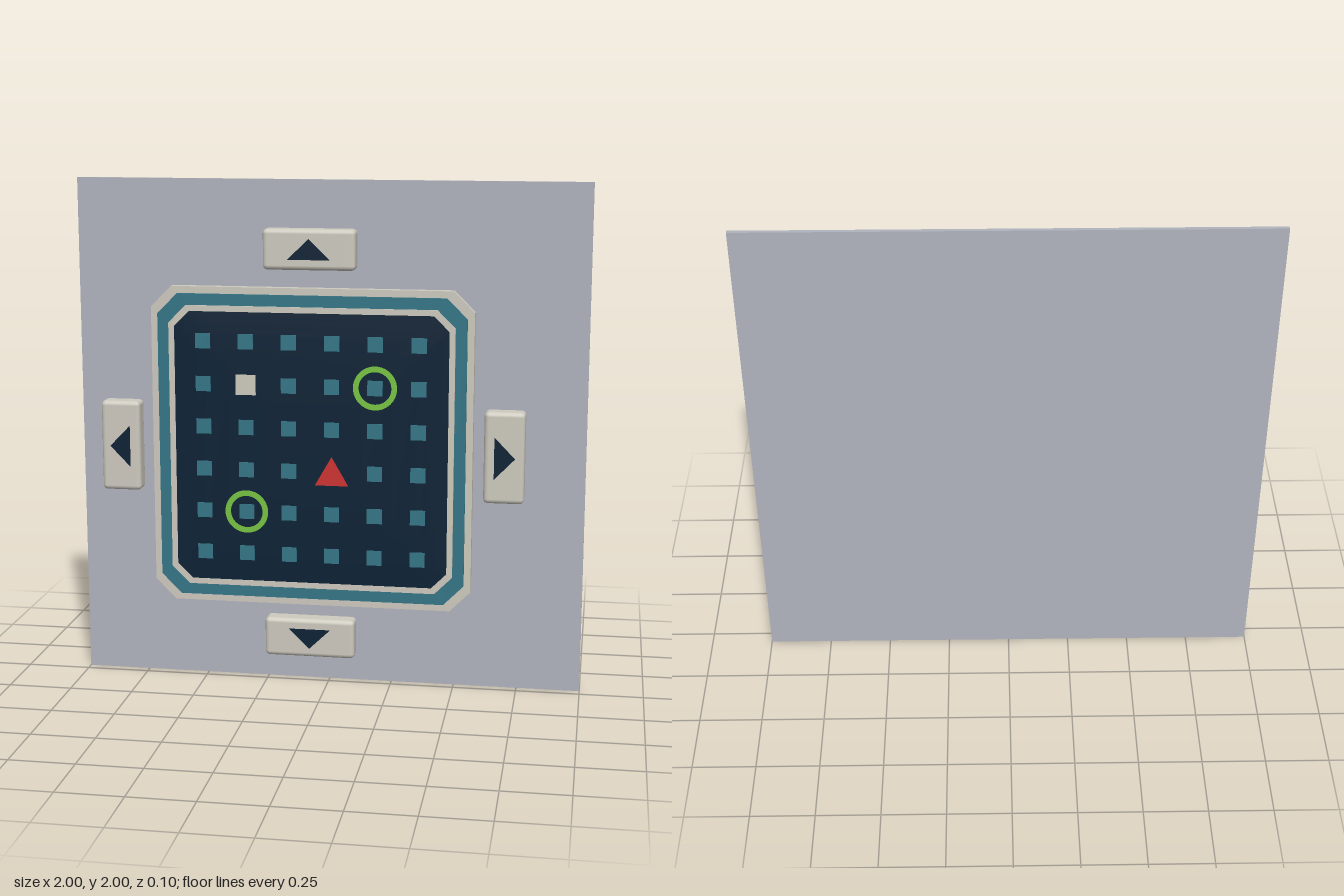
import * as THREE from 'three';
import { RoundedBoxGeometry } from 'three/addons/geometries/RoundedBoxGeometry.js';

const mat = (name, color) => new THREE.MeshStandardMaterial({ name, color });
const CX = -0.07, CY = 0.95; // centre of the console panel
const HALF = 0.54, Z0 = 0.013, DOME = 0.007; // screen size and bulge

// Corner points of a square with cut corners
const octagon = (h, c) => [[h, h - c], [h - c, h], [c - h, h], [-h, h - c],
  [-h, c - h], [c - h, -h], [h - c, -h], [h, c - h]].map(([x, y]) => new THREE.Vector2(x, y));

const triangle = (halfWidth, height) => new THREE.Shape([
  new THREE.Vector2(-halfWidth, -height / 2),
  new THREE.Vector2(halfWidth, -height / 2),
  new THREE.Vector2(0, height / 2)]);

const extrude = (shape, depth) =>
  new THREE.ExtrudeGeometry(shape, { depth, bevelEnabled: false, curveSegments: 32 });

// Height of the bulged screen at a point relative to its centre
const screenZ = (x, y) => Z0 + DOME * (1 - Math.pow(Math.max(Math.abs(x), Math.abs(y)) / HALF, 4));

// Gently domed screen lofted from shrinking octagons
function domeGeometry() {
  const outline = octagon(HALF, 0.06), n = outline.length;
  const scales = [1, 0.95, 0.88, 0.78, 0.6, 0.35, 0];
  const pos = [], index = [];
  for (const s of scales)
    for (const p of outline) pos.push(p.x * s, p.y * s, Z0 + DOME * (1 - s ** 4));
  for (let r = 0; r < scales.length - 1; r++) {
    for (let i = 0; i < n; i++) {
      const j = (i + 1) % n, a = r * n + i, b = r * n + j;
      index.push(a, b, a + n);
      if (r < scales.length - 2) index.push(b, b + n, a + n);
    }
  }
  const g = new THREE.BufferGeometry();
  g.setAttribute('position', new THREE.Float32BufferAttribute(pos, 3));
  g.setIndex(index);
  g.computeVertexNormals();
  return g;
}

export function createModel() {
  const wall = mat('wallGrey', 0xb0b4be);
  const ivory = mat('ivory', 0xcecabf);
  const teal = mat('teal', 0x357687);
  const navy = mat('navy', 0x0c2236);
  const green = mat('green', 0x78c442);
  const red = mat('red', 0xce3434);

  const model = new THREE.Group();
  model.name = 'wallConsole';
  const add = (parent, name, geometry, material, x = 0, y = 0, z = 0) => {
    const m = new THREE.Mesh(geometry, material);
    m.name = name;
    m.position.set(x, y, z);
    parent.add(m);
    return m;
  };

  // Backing wall
  add(model, 'backPlate', new THREE.BoxGeometry(2, 2, 0.015), wall, 0, 1, -0.0425);

  // Stepped frame around the screen
  const panel = new THREE.Group();
  panel.name = 'panel';
  panel.position.set(CX, CY, 0);
  model.add(panel);
  add(panel, 'outerFrame', extrude(new THREE.Shape(octagon(0.635, 0.082)), 0.035), ivory, 0, 0, -0.035);
  add(panel, 'tealBand', extrude(new THREE.Shape(octagon(0.608, 0.08)), 0.008), teal);
  const trim = new THREE.Shape(octagon(0.563, 0.07));
  trim.holes.push(new THREE.Path(octagon(HALF, 0.06)));
  add(panel, 'innerTrim', extrude(trim, 0.006), ivory, 0, 0, 0.008);
  add(panel, 'screen', domeGeometry(), navy);

  // Grid of dots on the screen
  const pitch = 0.17;
  const cell = (col, row) => [(col - 2.5) * pitch, (row - 2.5) * pitch];
  const dot = new THREE.BoxGeometry(0.06, 0.06, 0.004);
  for (let row = 0; row < 6; row++) {
    for (let col = 0; col < 6; col++) {
      if ((col === 1 && row === 4) || (col === 3 && row === 2)) continue;
      const [x, y] = cell(col, row);
      add(panel, 'gridDot', dot, teal, x, y, screenZ(x, y) + 0.001);
    }
  }

  // Markers on the grid: square, rings and triangle
  const [sx, sy] = cell(1, 4);
  add(panel, 'squareMarker', new THREE.BoxGeometry(0.08, 0.08, 0.004), ivory, sx, sy, screenZ(sx, sy) + 0.002);
  const ring = new THREE.Shape().absarc(0, 0, 0.086, 0, Math.PI * 2, false);
  ring.holes.push(new THREE.Path().absarc(0, 0, 0.064, 0, Math.PI * 2, true));
  const ringGeometry = extrude(ring, 0.004);
  for (const [col, row] of [[4, 4], [1, 1]]) {
    const [x, y] = cell(col, row);
    add(panel, 'ringMarker', ringGeometry, green, x, y, screenZ(x, y));
  }
  const [tx, ty] = cell(3, 2);
  add(panel, 'triangleMarker', extrude(triangle(0.066, 0.115), 0.004), red, tx, ty + 0.005, screenZ(tx, ty));

  // Four direction buttons, each turned so its arrow points outward
  const buttonGeometry = new RoundedBoxGeometry(0.36, 0.157, 0.08, 2, 0.018);
  const arrowGeometry = extrude(triangle(0.083, 0.08), 0.004);
  const buttons = [
    ['upButton', CX, 1.738, 0],
    ['downButton', CX, 0.19, Math.PI],
    ['leftButton', 0.689, CY, -Math.PI / 2],
    ['rightButton', -0.826, CY, Math.PI / 2],
  ];
  for (const [name, x, y, turn] of buttons) {
    const button = new THREE.Group();
    button.name = name;
    button.position.set(x, y, 0.01);
    button.rotation.z = turn;
    model.add(button);
    add(button, 'buttonBody', buttonGeometry, ivory);
    add(button, 'arrow', arrowGeometry, navy, 0, 0.002, 0.038);
  }
  return model;
}
